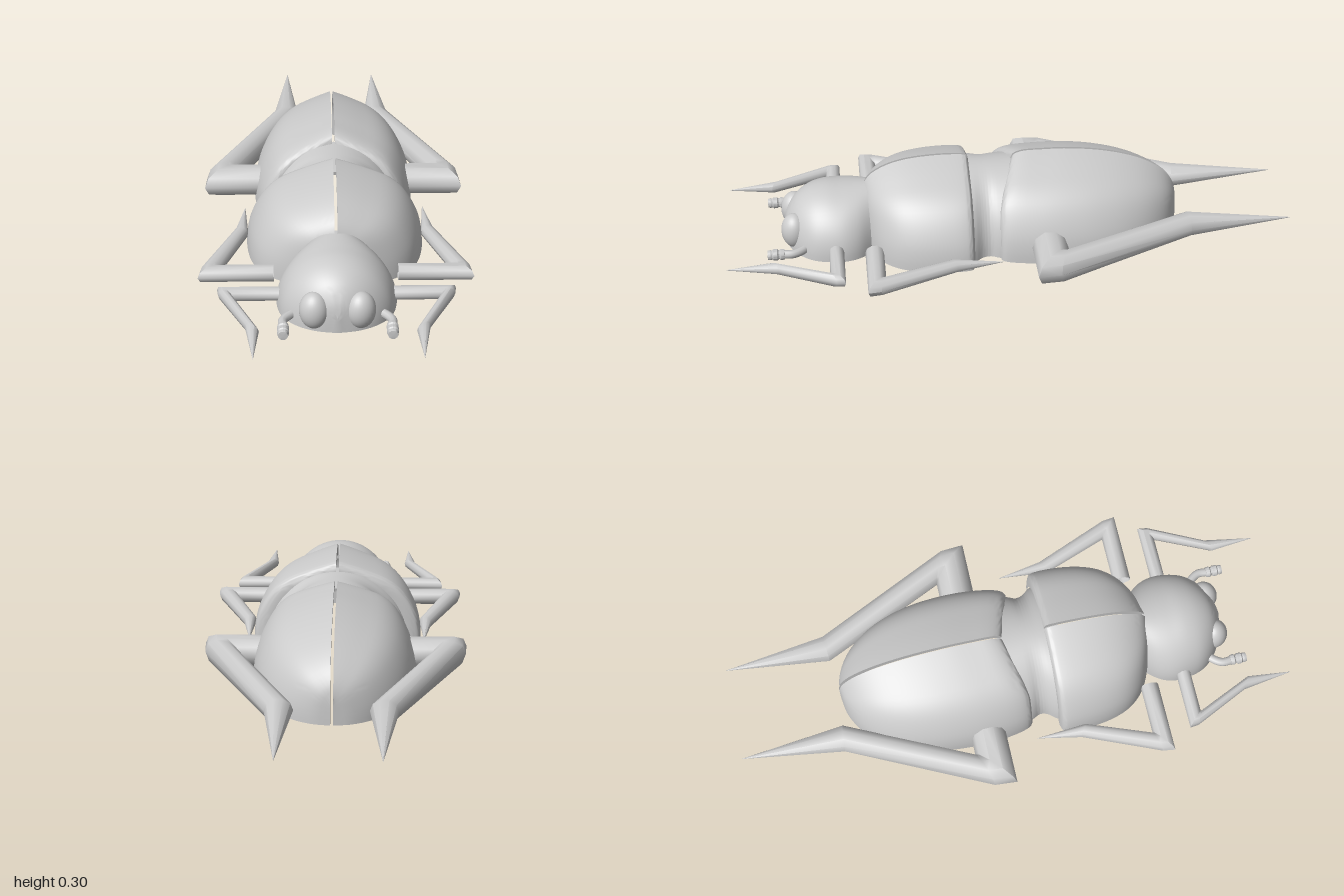
import * as THREE from 'three';
import { toCreasedNormals } from 'three/addons/utils/BufferGeometryUtils.js';

const material = new THREE.MeshStandardMaterial({ color: 0xcccccc, side: THREE.DoubleSide });

// Skin a list of closed rings of Vector3 points
function loft(rings, crease) {
  const n = rings[0].length, index = [];
  for (let i = 0; i + 1 < rings.length; i++) {
    for (let j = 0; j < n; j++) {
      const a = i * n + j, b = i * n + (j + 1) % n;
      index.push(a, b, a + n, b, b + n, a + n);
    }
  }
  const geometry = new THREE.BufferGeometry().setFromPoints(rings.flat());
  geometry.setIndex(index);
  return toCreasedNormals(geometry, crease);
}

function addMesh(group, name, geometry) {
  const mesh = new THREE.Mesh(geometry, material);
  mesh.name = name;
  group.add(mesh);
  return mesh;
}

// Add a left part and its mirrored right twin
function addPair(group, name, geometry, place = () => {}) {
  for (const [side, s] of [['left', 1], ['right', -1]]) {
    const holder = new THREE.Group();
    holder.name = side + name;
    holder.scale.x = s;
    place(addMesh(holder, name.toLowerCase(), geometry));
    group.add(holder);
  }
}

// Unit cross-sections: a whole arch, and half an arch with a ridge at the middle
const arch = Array.from({ length: 33 }, (_, i) => {
  const a = (i / 32 - 0.5) * Math.PI;
  return [Math.sin(a), Math.cos(a)];
});
const ridgedCurve = new THREE.SplineCurve([
  [0, 1], [0.17, 0.945], [0.36, 0.875], [0.58, 0.78], [0.74, 0.66],
  [0.86, 0.5], [0.95, 0.31], [0.99, 0.14], [1, 0],
].map(p => new THREE.Vector2(...p)));
const ridged = ridgedCurve.getPoints(24).map(p => [p.x, p.y]);

// Thick hollow shell; rows run front to back as [z, half width, height]
function shell(rows, profile, { pivot, gap = 0, notch = 0, thick = 0.07 }) {
  const curve = new THREE.CatmullRomCurve3(rows.map(r => new THREE.Vector3(...r)), false, 'centripetal');
  const samples = curve.getPoints(36);
  const zFront = rows[0][0];
  const layer = (s, k) => profile.map(([px, py]) => {
    const x = gap + Math.max(s.y, 0) * px * k;
    const cut = notch * Math.max(0, 1 - x / 0.2) * Math.max(0, 1 - (zFront - s.x) / 0.3);
    return new THREE.Vector3(x, 0.004 + s.z * py * k, pivot + (s.x - pivot) * (k + 1) / 2 - cut);
  });
  const inner = s => layer(s, 1 - thick);
  const rings = samples.map(s => [...layer(s, 1), ...inner(s).reverse()]);
  // Collapsed rings close both ends of the wall
  const closed = s => [...inner(s), ...inner(s).reverse()];
  return loft([closed(samples[0]), ...rings, closed(samples.at(-1))], 0.7);
}

// Leg rings: [inner x, z, outer x, z, vertical radius]
function leg(y, rings) {
  const sides = 10;
  return loft(rings.map(([ax, az, bx, bz, r]) => Array.from({ length: sides }, (_, j) => {
    const t = j / sides * Math.PI * 2, c = Math.cos(t) / 2;
    return new THREE.Vector3((ax + bx) / 2 + (bx - ax) * c, y + r * Math.sin(t), (az + bz) / 2 + (bz - az) * c);
  })), 0.75);
}

export function createModel() {
  const model = new THREE.Group();
  model.name = 'beetle';

  // Head
  addMesh(model, 'head', shell([
    [0.8, 0, 0.06], [0.785, 0.075, 0.11], [0.75, 0.138, 0.16], [0.7, 0.18, 0.19],
    [0.65, 0.196, 0.202], [0.59, 0.2, 0.203], [0.54, 0.184, 0.203], [0.49, 0.145, 0.203],
  ], arch, { pivot: 0.5 }));

  // Eyes
  addPair(model, 'Eye', new THREE.SphereGeometry(0.05, 28, 20), eye => {
    eye.scale.set(1, 1.3, 0.95);
    eye.rotation.y = 0.4;
    eye.position.set(0.076, 0.07, 0.762);
  });

  // Antennae with a ringed club at the tip
  const feeler = new THREE.CatmullRomCurve3([
    [0.12, 0.035, 0.71], [0.155, 0.035, 0.735], [0.178, 0.035, 0.77], [0.177, 0.035, 0.81],
  ].map(p => new THREE.Vector3(...p)));
  addPair(model, 'Antenna', new THREE.TubeGeometry(feeler, 16, 0.015, 10));
  const club = new THREE.LatheGeometry([
    [0, 0], [0.018, 0.002], [0.02, 0.016], [0.016, 0.02], [0.016, 0.024],
    [0.02, 0.028], [0.02, 0.042], [0.016, 0.046], [0.018, 0.052], [0.016, 0.061], [0, 0.063],
  ].map(p => new THREE.Vector2(...p)), 14);
  addPair(model, 'AntennaTip', toCreasedNormals(club, 0.6), tip => {
    tip.rotation.x = Math.PI / 2;
    tip.position.set(0.177, 0.035, 0.798);
  });

  // Chest covers, split along the middle
  addPair(model, 'ChestCover', shell([
    [0.52, 0, 0.15], [0.515, 0.07, 0.19], [0.495, 0.145, 0.228], [0.46, 0.21, 0.255],
    [0.41, 0.256, 0.277], [0.35, 0.283, 0.291], [0.26, 0.3, 0.299], [0.17, 0.301, 0.298],
    [0.15, 0.294, 0.294], [0.14, 0.27, 0.28],
  ], ridged, { pivot: 0.14, gap: 0.005 }));

  // Waist joining chest and abdomen
  addMesh(model, 'waist', shell([
    [0.19, 0.27, 0.262], [0.14, 0.25, 0.264], [0.105, 0.224, 0.264],
    [0.08, 0.219, 0.264], [0.05, 0.232, 0.264], [-0.03, 0.25, 0.264],
  ], arch, { pivot: 0.08, thick: 0.05 }));

  // Wing covers with a notched front edge
  addPair(model, 'WingCover', shell([
    [0.045, 0.24, 0.27], [0.035, 0.252, 0.285], [0, 0.265, 0.297], [-0.1, 0.28, 0.3],
    [-0.2, 0.281, 0.299], [-0.3, 0.271, 0.29], [-0.4, 0.245, 0.27], [-0.49, 0.2, 0.238],
    [-0.56, 0.137, 0.193], [-0.6, 0.065, 0.14], [-0.612, 0, 0.09],
  ], ridged, { pivot: 0.04, gap: 0.005, notch: 0.06 }));

  // Legs, each bent at the elbow and ending in a spike
  addPair(model, 'FrontLeg', leg(0.043, [
    [0.14, 0.645, 0.14, 0.593, 0.024], [0.345, 0.645, 0.398, 0.593, 0.024],
    [0.345, 0.645, 0.394, 0.625, 0.024], [0.254, 0.845, 0.3, 0.82, 0.02], [0.27, 1, 0.271, 1, 0.001],
  ]));
  addPair(model, 'MiddleLeg', leg(0.042, [
    [0.21, 0.455, 0.21, 0.52, 0.029], [0.386, 0.455, 0.466, 0.52, 0.029],
    [0.386, 0.455, 0.46, 0.475, 0.029], [0.302, 0.228, 0.348, 0.205, 0.023], [0.317, 0.047, 0.318, 0.047, 0.001],
  ]));
  addPair(model, 'HindLeg', leg(0.065, [
    [0.18, -0.185, 0.18, -0.06, 0.055], [0.335, -0.185, 0.466, -0.06, 0.055],
    [0.335, -0.185, 0.46, -0.14, 0.055], [0.126, -0.625, 0.223, -0.635, 0.043], [0.17, -1, 0.171, -1, 0.001],
  ]));

  return model;
}
